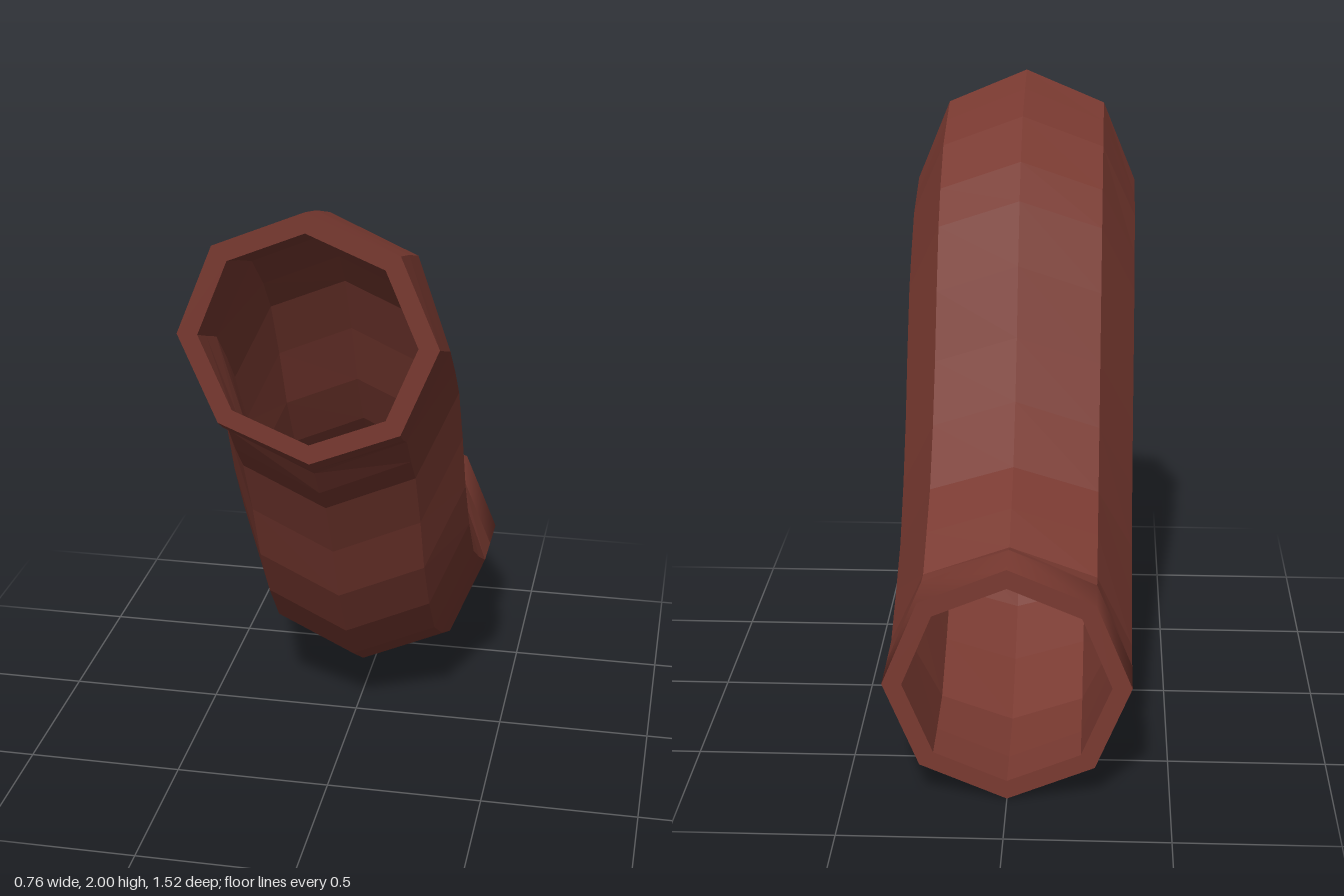
import * as THREE from 'three';

const SIDES = 8, RADIUS = 0.38, BORE = 0.84;

// Each ring: top corner (z, y) and bottom corner (z, y), from the mouth to the collar
const BEND = [
  [0.76, 2.0, 0.735, 1.235], [0.6, 1.96, 0.7, 1.2], [0.41, 1.9, 0.66, 1.175],
  [0.25, 1.78, 0.59, 1.08], [0.155, 1.67, 0.5, 0.99], [0.05, 1.48, 0.39, 0.79],
  [-0.05, 1.27, 0.3, 0.59], [-0.16, 1.09, 0.18, 0.4], [-0.3, 0.92, 0.05, 0.245],
  [-0.44, 0.835, -0.13, 0.13], [-0.56, 0.755, -0.36, 0.02], [-0.605, 0.765, -0.605, 0.003],
];
const COLLAR_END = [-0.76, 0.765, -0.76, 0.003];

// Octagonal ring of points, corner up, shrunk by scale about its centre
function ring([tz, ty, bz, by], scale = 1) {
  return Array.from({ length: SIDES }, (_, j) => {
    const a = (j / SIDES) * Math.PI * 2;
    const c = Math.cos(a) * scale * 0.5;
    return [
      Math.sin(a) * RADIUS * scale,
      (ty + by) / 2 + c * (ty - by),
      (tz + bz) / 2 + c * (tz - bz),
    ];
  });
}

// Skin a list of rings, faceted or smooth
function loft(rings, smooth = false) {
  const index = [];
  for (let i = 0; i < rings.length - 1; i++) {
    for (let j = 0; j < SIDES; j++) {
      const k = (j + 1) % SIDES;
      const a = i * SIDES + j, b = i * SIDES + k;
      const c = a + SIDES, d = b + SIDES;
      index.push(a, b, c, b, d, c);
    }
  }
  let geometry = new THREE.BufferGeometry();
  geometry.setAttribute('position', new THREE.Float32BufferAttribute(rings.flat(2), 3));
  geometry.setIndex(index);
  if (!smooth) geometry = geometry.toNonIndexed();
  geometry.computeVertexNormals();
  return geometry;
}

export function createModel() {
  const group = new THREE.Group();
  group.name = 'bentPipe';
  const clay = new THREE.MeshStandardMaterial({ color: 0x7a3a31 });
  clay.name = 'redBrown';

  const add = (name, geometry) => {
    const mesh = new THREE.Mesh(geometry, clay);
    mesh.name = name;
    group.add(mesh);
  };

  const outer = BEND.map((r) => ring(r));
  const inner = [...BEND, COLLAR_END].map((r) => ring(r, BORE)).reverse();
  const end = ring(COLLAR_END);

  add('pipeBody', loft(outer));
  add('pipeBore', loft(inner));
  add('mouthRim', loft([inner.at(-1), outer[0]]));
  // Collar is shaded as a round band
  add('collar', loft([outer.at(-1), end], true));
  add('collarRim', loft([end, inner[0]]));

  return group;
}
